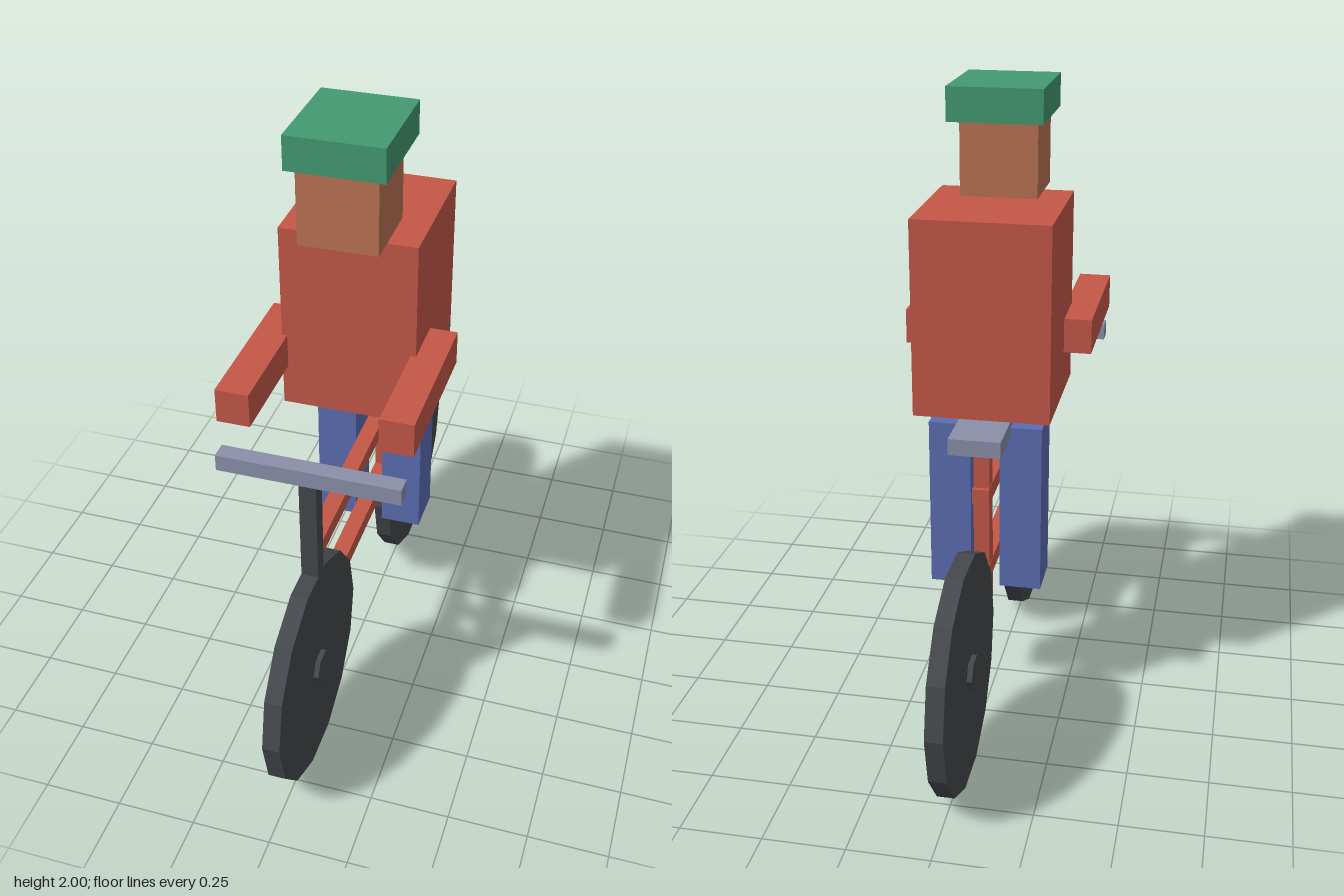
import * as THREE from 'three';

export function createModel() {
  const model = new THREE.Group();
  model.name = 'cyclist';

  const material = (name, color) => {
    const m = new THREE.MeshStandardMaterial({ color });
    m.name = name;
    return m;
  };
  const red = material('red', 0xc45848);
  const dark = material('dark rubber', 0x45484c);
  const steel = material('steel', 0x8a90aa);
  const blue = material('blue', 0x5b6db3);
  const skin = material('skin', 0xbb7354);
  const green = material('green', 0x449a72);

  // Box given by its [min, max] extent on each axis
  function box(name, mat, [x0, x1], [y0, y1], [z0, z1]) {
    const mesh = new THREE.Mesh(new THREE.BoxGeometry(x1 - x0, y1 - y0, z1 - z0), mat);
    mesh.position.set((x0 + x1) / 2, (y0 + y1) / 2, (z0 + z1) / 2);
    mesh.name = name;
    model.add(mesh);
  }

  // Faceted disc whose axle runs along x, with a corner pointing forward
  function disc(radius, width, sides) {
    const g = new THREE.CylinderGeometry(radius, radius, width, sides).toNonIndexed();
    g.rotateZ(Math.PI / 2);
    g.computeVertexNormals();
    return g;
  }

  // Wheels with hexagonal hubs
  for (const [name, z] of [['frontWheel', 0.58], ['rearWheel', -0.58]]) {
    const wheel = new THREE.Group();
    wheel.name = name;
    const tyre = new THREE.Mesh(disc(0.365, 0.054, 14), dark);
    tyre.name = 'tyre';
    const hub = new THREE.Mesh(disc(0.053, 0.086, 6), dark);
    hub.name = 'hub';
    wheel.add(tyre, hub);
    wheel.position.set(0, 0.356, z);
    model.add(wheel);
  }

  // Frame
  const tube = [-0.026, 0.026];
  box('topTube', red, tube, [0.765, 0.817], [-0.283, 0.555]);
  box('lowerTube', red, tube, [0.503, 0.555], [-0.56, 0.56]);
  box('seatTube', red, [-0.025, 0.025], [0.41, 0.96], [-0.268, -0.215]);
  box('fork', dark, [-0.0265, 0.0265], [0.4, 1.07], [0.511, 0.563]);
  box('handlebar', steel, [-0.28, 0.28], [1.053, 1.106], [0.51, 0.564]);
  box('saddle', steel, [-0.08, 0.08], [0.968, 1.02], [-0.375, -0.11]);

  // Rider
  box('torso', red, [-0.21, 0.21], [1.045, 1.655], [-0.275, 0.167]);
  box('head', skin, [-0.12, 0.12], [1.66, 1.896], [0.013, 0.256]);
  box('cap', green, [-0.146, 0.146], [1.896, 2.0], [-0.055, 0.281]);
  for (const [side, s] of [['left', 1], ['right', -1]]) {
    const span = (a, b) => (s > 0 ? [a, b] : [-b, -a]);
    box(side + 'Arm', red, span(0.193, 0.296), [1.18, 1.29], [0, 0.498]);
    box(side + 'Leg', blue, span(0.046, 0.177), [0.45, 1.0], [-0.21, -0.055]);
  }

  return model;
}
